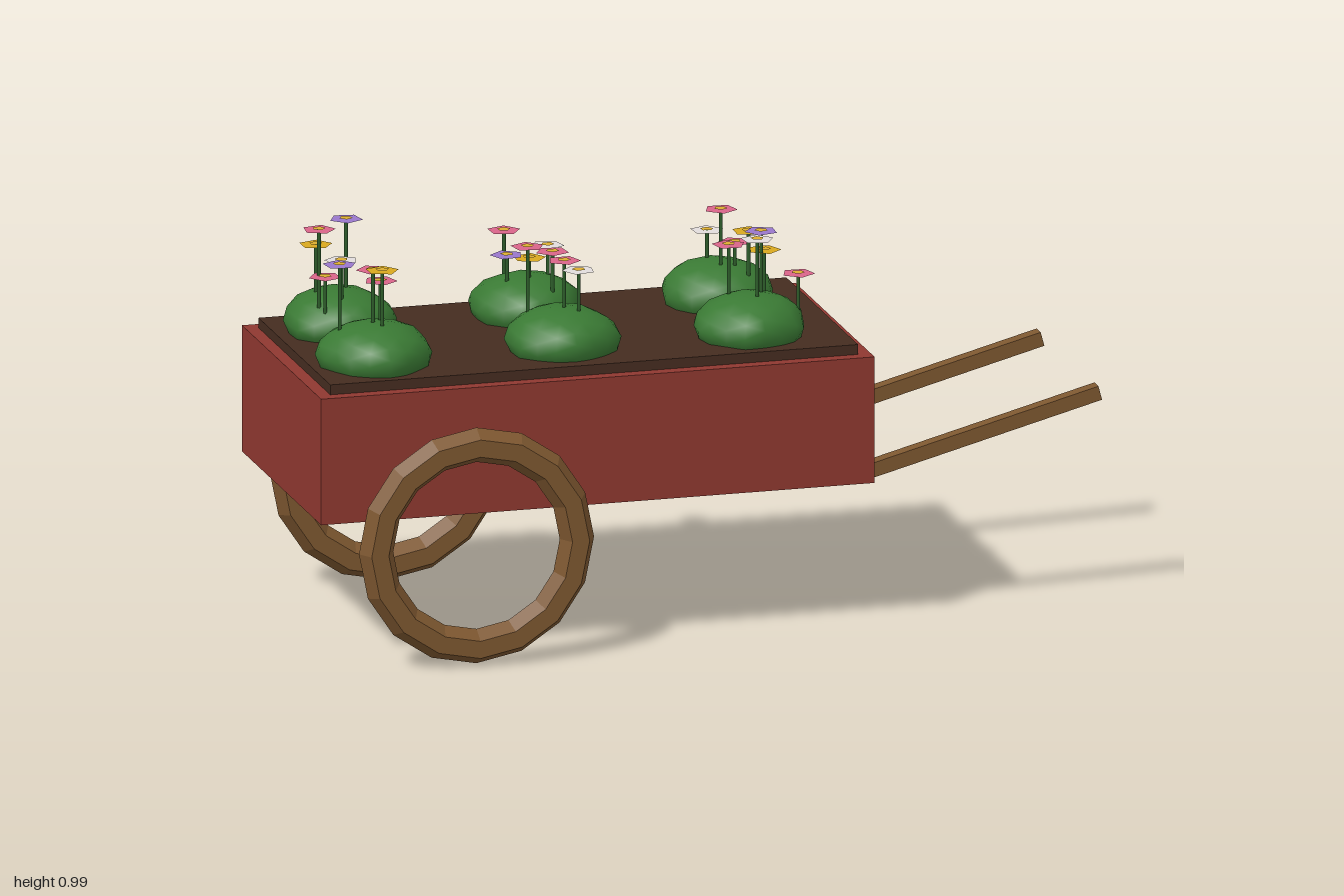
import * as THREE from 'three';
import { mergeVertices } from 'three/addons/utils/BufferGeometryUtils.js';

const mat = (color, opts = {}) => {
  const m = new THREE.MeshStandardMaterial(opts);
  m.color.set(color);
  return m;
};
const WOOD = mat(0x7d5730, { flatShading: true });
const RED = mat(0x8f3830);
const SOIL = mat(0x452c20);
const LEAF = mat(0x3a7a34);
const STEM = mat(0x2f5f2c);
const PETALS = {
  pink: mat(0xd9648a, { side: THREE.DoubleSide }),
  yellow: mat(0xd9a81e, { side: THREE.DoubleSide }),
  white: mat(0xe2dcdc, { side: THREE.DoubleSide }),
  purple: mat(0x9a78cc, { side: THREE.DoubleSide }),
};
const HEART = mat(0xdcae30, { side: THREE.DoubleSide });

function add(parent, name, geometry, material, x = 0, y = 0, z = 0) {
  const mesh = new THREE.Mesh(geometry, material);
  mesh.name = name;
  mesh.position.set(x, y, z);
  parent.add(mesh);
  return mesh;
}

// Flattened, slightly lumpy ball with smooth normals
function moundGeometry(seed) {
  let g = new THREE.IcosahedronGeometry(1, 2);
  g.deleteAttribute('normal');
  g.deleteAttribute('uv');
  g = mergeVertices(g, 1e-4);
  const p = g.attributes.position;
  const v = new THREE.Vector3();
  for (let i = 0; i < p.count; i++) {
    v.fromBufferAttribute(p, i);
    const bump = 1 + 0.05 * Math.sin(4 * v.x + seed * 2.1) * Math.cos(3 * v.z + seed)
      + 0.03 * Math.sin(7 * v.z + 5 * v.x + seed * 1.7);
    p.setXYZ(i, v.x * 0.138 * bump, v.y * 0.08, v.z * 0.14 * bump);
  }
  g.computeVertexNormals();
  return g;
}

// Thin stem with a flat five-sided bloom on top
function flower(color, x, top, z, turn) {
  const g = new THREE.Group();
  g.name = 'flower';
  const base = 0.75;
  add(g, 'stem', new THREE.CylinderGeometry(0.005, 0.005, top - base, 5), STEM, x, (top + base) / 2, z);
  const bloom = add(g, 'bloom', new THREE.CircleGeometry(0.042, 5), PETALS[color], x, top, z);
  const heart = add(g, 'bloomCentre', new THREE.CircleGeometry(0.017, 5), HEART, x, top + 0.003, z);
  for (const disc of [bloom, heart]) disc.rotation.set(-Math.PI / 2, 0, turn);
  return g;
}

// Each clump: centre x, centre z, then flowers as colour, x, height, z
const CLUMPS = [
  [-0.81, -0.16, [['yellow', -0.865, 0.925, -0.17], ['purple', -0.79, 0.985, -0.165],
    ['white', -0.82, 0.9, -0.1], ['pink', -0.88, 0.985, -0.09], ['pink', -0.87, 0.87, -0.07]]],
  [-0.335, -0.16, [['pink', -0.365, 0.9, -0.255], ['white', -0.28, 0.88, -0.165],
    ['purple', -0.39, 0.87, -0.14], ['yellow', -0.335, 0.86, -0.135], ['pink', -0.295, 0.89, -0.07]]],
  [0.145, -0.16, [['white', 0.13, 0.88, -0.19], ['pink', 0.145, 0.95, -0.12],
    ['pink', 0.18, 0.865, -0.12], ['yellow', 0.205, 0.9, -0.085]]],
  [-0.81, 0.16, [['purple', -0.895, 0.96, 0.145], ['pink', -0.79, 0.91, 0.14],
    ['pink', -0.815, 0.945, 0.16], ['yellow', -0.8, 0.95, 0.19]]],
  [-0.335, 0.15, [['pink', -0.405, 0.955, 0.095], ['pink', -0.33, 0.93, 0.155],
    ['white', -0.3, 0.91, 0.18]]],
  [0.14, 0.16, [['pink', 0.095, 0.93, 0.125], ['yellow', 0.185, 0.91, 0.125],
    ['purple', 0.17, 0.965, 0.15], ['white', 0.15, 0.955, 0.185], ['pink', 0.255, 0.86, 0.18]]],
];

export function createModel() {
  const cart = new THREE.Group();
  cart.name = 'flowerCart';

  // Box body and raised soil bed
  add(cart, 'body', new THREE.BoxGeometry(1.4, 0.318, 0.7), RED, -0.3, 0.524, 0);
  add(cart, 'soil', new THREE.BoxGeometry(1.335, 0.06, 0.635), SOIL, -0.3, 0.678, 0);

  // Wheels and sloping handles, mirrored front to back
  for (const side of [1, -1]) {
    add(cart, 'wheel', new THREE.TorusGeometry(0.254, 0.0433, 6, 16), WOOD, -0.62, 0.2973, side * 0.395);
    const handle = add(cart, 'handle', new THREE.BoxGeometry(0.62, 0.036, 0.036), WOOD, 0.693, 0.447, side * 0.255);
    handle.rotation.z = 0.258;
  }

  // Leafy mounds with their flowers
  CLUMPS.forEach(([x, z, flowers], i) => {
    const clump = new THREE.Group();
    clump.name = 'plantClump';
    add(clump, 'leafMound', moundGeometry(i + 1), LEAF, x, 0.735, z);
    flowers.forEach((f, j) => clump.add(flower(...f, i * 1.3 + j * 0.8)));
    cart.add(clump);
  });
  return cart;
}
